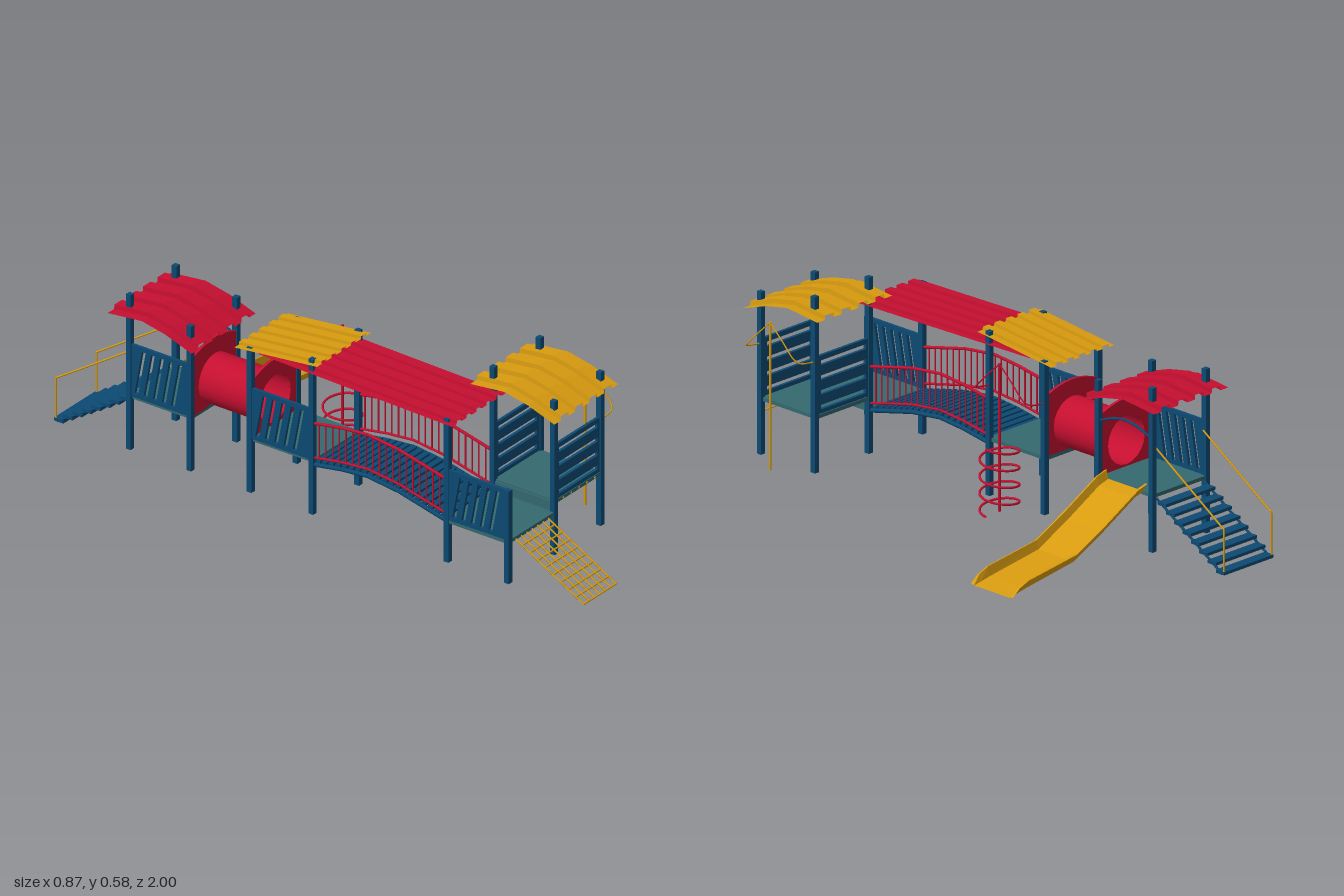
import * as THREE from 'three';

const mat = (name, color) => {
  const m = new THREE.MeshStandardMaterial({ color, side: THREE.DoubleSide });
  m.name = name;
  return m;
};
const V = (x, y, z) => new THREE.Vector3(x, y, z);

export function createModel() {
  const root = new THREE.Group();
  const blue = mat('navy blue', 0x0c4a73), red = mat('crimson red', 0xc60f30);
  const yellow = mat('golden yellow', 0xd89b10), teal = mat('teal deck', 0x34696f);
  const XL = -0.388, XR = -0.155, XT = 0.08, XC = (XL + XR) / 2;

  const add = (name, geo, m) => {
    const mesh = new THREE.Mesh(geo, m);
    mesh.name = name;
    root.add(mesh);
    return mesh;
  };
  // box given by its min and max on each axis
  const box = (name, m, x0, x1, y0, y1, z0, z1) => {
    const b = add(name, new THREE.BoxGeometry(x1 - x0, y1 - y0, z1 - z0), m);
    b.position.set((x0 + x1) / 2, (y0 + y1) / 2, (z0 + z1) / 2);
    return b;
  };
  // straight bars through a list of points
  const bars = (name, m, pts, r = 0.003) => {
    for (let i = 1; i < pts.length; i++) {
      const d = pts[i].clone().sub(pts[i - 1]);
      const b = add(name, new THREE.CylinderGeometry(r, r, d.length(), 8), m);
      b.position.copy(pts[i]).add(pts[i - 1]).multiplyScalar(0.5);
      b.quaternion.setFromUnitVectors(V(0, 1, 0), d.normalize());
    }
  };
  // section [across, up] swept along a path [along, y, section scale]
  const sheet = (name, m, section, path, alongX = false) => {
    const pos = [], idx = [], n = section.length;
    path.forEach(([t, y, s = 1], i) => section.forEach(([a, u], j) => {
      pos.push(alongX ? t : a, y + u * s, alongX ? a : t);
      if (i && j) {
        const p = (i - 1) * n + j - 1, q = p + n;
        if (alongX) idx.push(p, p + 1, q, q, p + 1, q + 1);
        else idx.push(p, q, p + 1, p + 1, q, q + 1);
      }
    }));
    let g = new THREE.BufferGeometry();
    g.setAttribute('position', new THREE.Float32BufferAttribute(pos, 3));
    g.setIndex(idx);
    g = g.toNonIndexed();
    g.computeVertexNormals();
    return add(name, g, m);
  };
  // ribbed roof section between two x positions
  const ribs = (x0, x1, count, h) => {
    const out = [], p = (x1 - x0) / (count + 0.45);
    for (let i = 0; i <= count; i++) {
      const x = x0 + i * p;
      out.push([x, 0], [x + 0.45 * p, 0]);
      if (i < count) out.push([x + 0.47 * p, h], [x + 0.98 * p, h]);
    }
    return out;
  };
  const post = (x, z, top) => box('post', blue, x - 0.009, x + 0.009, 0.01, top, z - 0.009, z + 0.009);
  const curvedRoof = (name, m, x0, x1, dy, dz) => sheet(name, m, ribs(x0, x1, 4, 0.015),
    [[0.45, 0.524], [0.58, 0.538], [0.67, 0.52], [0.77, 0.486]].map(([z, y]) => [z + dz, y + dy]));

  // side fence with leaning slots
  const slottedFence = (z0, z1, y0, y1) => {
    const w = z1 - z0, h = y1 - y0, s = new THREE.Shape();
    s.moveTo(0, 0).lineTo(w, 0).lineTo(w, h).lineTo(0, h).closePath();
    for (let i = 0; i < 5; i++) {
      const a = 0.012 + i * (w - 0.06) / 4.4, lean = 0.028, t = 0.014;
      const hole = new THREE.Path();
      hole.moveTo(a, 0.014).lineTo(a + lean, h - 0.014).lineTo(a + lean + t, h - 0.014).lineTo(a + t, 0.014).closePath();
      s.holes.push(hole);
    }
    const g = new THREE.ExtrudeGeometry(s, { depth: 0.01, bevelEnabled: false }).rotateY(-Math.PI / 2);
    add('slottedFence', g, blue).position.set(XL + 0.005, y0, z0);
  };

  // posts
  for (const x of [XL, XR]) {
    post(x, -0.705, 0.545); post(x, -0.475, 0.51);
    post(x, -0.245, 0.51); post(x, -0.01, 0.545);
  }
  for (const x of [XR, XT]) { post(x, 0.505, 0.585); post(x, 0.735, 0.54); }
  post(XL, 0.505, 0.505);
  post(XL, 0.735, 0.33);

  // decks
  box('rearDeck', teal, XL, XR, 0.185, 0.197, -0.71, -0.47);
  box('middleDeck', teal, XL, XR, 0.185, 0.197, -0.25, -0.005);
  box('frontDeck', teal, XL - 0.005, XR, 0.145, 0.157, 0.5, 0.74);
  box('towerDeck', teal, XR, XT, 0.183, 0.195, 0.5, 0.74);
  box('deckStep', teal, XR - 0.005, XR + 0.003, 0.145, 0.19, 0.505, 0.735);
  for (let i = 0; i < 5; i++) box('deckBolt', yellow, -0.118 + i * 0.04, -0.113 + i * 0.04, 0.187, 0.191, 0.738, 0.743);

  // fences
  slottedFence(-0.696, -0.484, 0.195, 0.375);
  slottedFence(-0.236, -0.019, 0.195, 0.37);
  slottedFence(0.514, 0.726, 0.155, 0.33);
  for (const z of [0.505, 0.735]) {
    for (const [a, b] of [[0.197, 0.21], [0.225, 0.258], [0.273, 0.306], [0.321, 0.354], [0.37, 0.386]])
      box('fenceBoard', blue, XR + 0.005, XT - 0.005, a, b, z - 0.005, z + 0.005);
    for (const x of [XR + 0.01, XT - 0.015]) box('fenceUpright', blue, x - 0.006, x + 0.008, 0.197, 0.386, z - 0.005, z + 0.005);
  }

  // roofs
  curvedRoof('frontRoof', yellow, -0.2, 0.125, 0, 0);
  curvedRoof('rearRoof', red, -0.435, -0.11, -0.042, -1.205);
  sheet('middleRoof', yellow, ribs(-0.412, -0.138, 5, 0.01), [[-0.29, 0.503], [0.025, 0.537]]);
  sheet('bridgeRoof', red, ribs(-0.412, -0.138, 5, 0.01), [[-0.2, 0.51], [0.54, 0.495]]);

  // arched bridge with railings
  const arch = [[-0.01, 0.185], [0.1, 0.203], [0.2, 0.212], [0.32, 0.198], [0.5, 0.155]];
  const archY = z => {
    const i = Math.max(1, arch.findIndex(p => p[0] >= z));
    const [a, b] = [arch[i - 1], arch[i]];
    return a[1] + (b[1] - a[1]) * (z - a[0]) / (b[0] - a[0]);
  };
  for (let i = 0; i < 20; i++) {
    const z = 0.006 + i * 0.0252, y = archY(z);
    const plank = box('bridgePlank', blue, XL + 0.005, XR - 0.005, y - 0.006, y + 0.005, z - 0.009, z + 0.009);
    plank.rotation.x = -Math.atan2(archY(z + 0.005) - archY(z - 0.005), 0.01);
  }
  for (const x of [XL, XR]) {
    const rail = dy => arch.map(([z, y]) => V(x, y + dy, z));
    bars('bridgeTopRail', red, rail(0.137), 0.005);
    bars('bridgeBottomRail', red, rail(0.018), 0.004);
    bars('bridgeBeam', blue, rail(-0.006), 0.007);
    for (let i = 1; i < 20; i++) {
      const z = -0.01 + i * 0.0255, y = archY(z);
      bars('bridgeBaluster', red, [V(x, y + 0.018, z), V(x, y + 0.137, z)], 0.0025);
    }
  }

  // tunnel and its end panels
  const tunnel = add('tunnel', new THREE.CylinderGeometry(0.082, 0.082, 0.23, 20, 1, true).rotateX(Math.PI / 2), red);
  tunnel.position.set(XC, 0.283, -0.36);
  const panel = new THREE.Shape();
  panel.moveTo(-0.11, -0.09).lineTo(0.11, -0.09).lineTo(0.11, 0.112);
  panel.quadraticCurveTo(0.05, 0.136, 0, 0.136).quadraticCurveTo(-0.05, 0.136, -0.11, 0.112).closePath();
  panel.holes.push(new THREE.Path().absarc(0, 0, 0.08, 0, Math.PI * 2, true));
  for (const z of [-0.25, -0.48])
    add('tunnelPanel', new THREE.ExtrudeGeometry(panel, { depth: 0.01, bevelEnabled: false, curveSegments: 10 }), red)
      .position.set(XC, 0.283, z);

  // slide
  sheet('slide', yellow, [[-0.682, 0.026], [-0.675, 0.028], [-0.668, 0], [-0.517, 0], [-0.51, 0.028], [-0.503, 0.026]],
    [[-0.155, 0.197], [-0.115, 0.186], [0.02, 0.113], [0.15, 0.05], [0.36, 0.02, 1.1], [0.4, 0.013, 0.8], [0.43, 0.008, 0.1]], true);
  const hoop = new THREE.CatmullRomCurve3([V(XR, 0.38, -0.485), V(XR, 0.4, -0.54), V(XR, 0.408, -0.59), V(XR, 0.4, -0.64), V(XR, 0.38, -0.695)]);
  add('slideHoop', new THREE.TubeGeometry(hoop, 20, 0.004, 8), blue);

  // stairs
  for (let i = 0; i < 8; i++) {
    const z = -0.735 - i * 0.0355, y = 0.168 - i * 0.0222;
    box('stairTread', blue, -0.38, -0.165, y - 0.005, y + 0.005, z - 0.018, z + 0.018);
  }
  for (const x of [-0.376, -0.169]) {
    bars('stairStringer', blue, [V(x, 0.18, -0.71), V(x, 0.008, -0.99)], 0.004);
    bars('handrail', yellow, [V(x, 0.345, -0.705), V(x, 0.155, -0.996), V(x, 0.008, -0.996)]);
  }

  // climbing net
  const netPoint = (x, t) => V(x, 0.15 - 0.145 * t, 0.735 + 0.263 * t);
  for (let i = 0; i <= 6; i++) {
    const x = -0.355 + i * 0.0275;
    bars('netRope', yellow, [netPoint(x, 0), netPoint(x, 1)], 0.0028);
  }
  for (let i = 0; i <= 9; i++) bars('netRope', yellow, [netPoint(-0.357, i / 9), netPoint(-0.188, i / 9)], 0.0028);

  // climbing poles with braces to the posts
  const pole = (m, x, z, r) => {
    bars('pole', m, [V(x, 0.008, z), V(x, 0.49, z)], r);
    for (const s of [-1, 1]) {
      const path = new THREE.CatmullRomCurve3([V(x - 0.075, 0.37, z + s * 0.115), V(x - 0.015, 0.38, z + s * 0.113),
        V(x - 0.002, 0.392, z + s * 0.1), V(x, 0.44, z + s * 0.052), V(x, 0.488, z)], false, 'centripetal');
      add('poleBrace', new THREE.TubeGeometry(path, 24, 0.0025, 6), m);
    }
  };
  pole(yellow, 0.157, 0.62, 0.0045);
  pole(red, -0.078, -0.128, 0.004);

  // spiral climber
  const coil = [];
  for (let i = 0; i <= 96; i++) {
    const a = i / 96 * Math.PI * 8;
    coil.push(V(-0.078 + 0.061 * Math.cos(a), 0.006 + 0.22 * i / 96, -0.128 + 0.061 * Math.sin(a)));
  }
  add('spiralClimber', new THREE.TubeGeometry(new THREE.CatmullRomCurve3(coil), 200, 0.0038, 8), red);

  return root;
}
